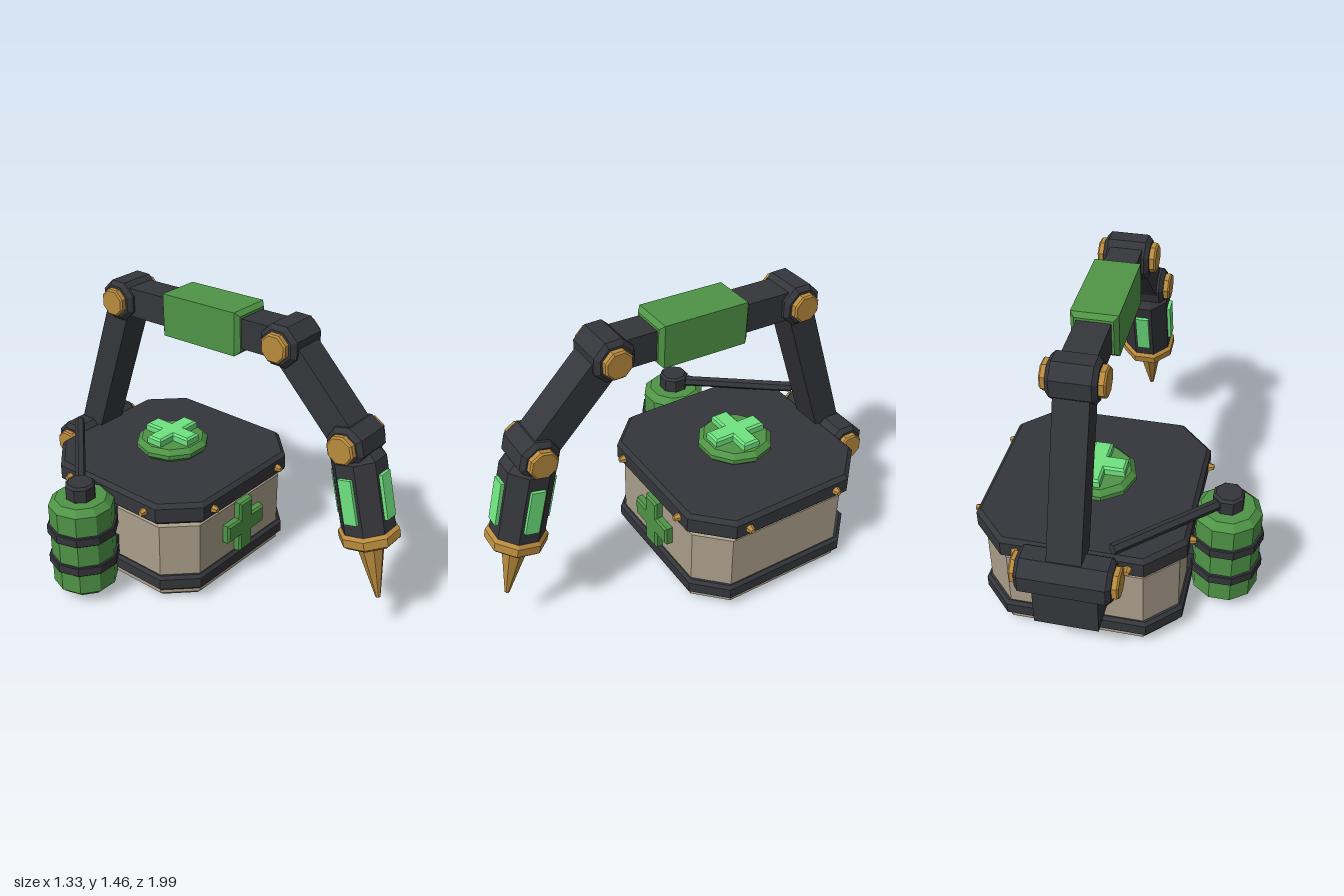
import * as THREE from 'three';

const mat = (color) => new THREE.MeshStandardMaterial({ color, flatShading: true });

export function createModel() {
  const model = new THREE.Group();
  const dark = mat(0x35363b), green = mat(0x4f9446), glow = mat(0x6fe37f);
  const gold = mat(0xb98b3e), tan = mat(0xaa9e8a);
  const CX = 0.14, CZ = -0.34; // centre of the case

  // Outline helpers
  const ngon = (n, r, phase = 0) => Array.from({ length: n }, (_, i) => {
    const a = phase + (i / n) * Math.PI * 2;
    return [r * Math.cos(a), r * Math.sin(a)];
  });
  const octagon = (apothem) => ngon(8, apothem / Math.cos(Math.PI / 8), Math.PI / 8);
  const rect = (w, h) => [[-w / 2, -h / 2], [w / 2, -h / 2], [w / 2, h / 2], [-w / 2, h / 2]];
  const chamfered = (s, c) => [[-s + c, -s], [s - c, -s], [s, -s + c], [s, s - c],
    [s - c, s], [-s + c, s], [-s, s - c], [-s, -s + c]];
  const plus = (s, w) => [[-w, -s], [w, -s], [w, -w], [s, -w], [s, w], [w, w],
    [w, s], [-w, s], [-w, w], [-s, w], [-s, -w], [-w, -w]];

  // Bevelled slab of an outline, centred, thick along the given axis
  const slab = (outline, thickness, bevel, axis = 'y') => {
    const g = new THREE.ExtrudeGeometry(
      new THREE.Shape(outline.map(([x, y]) => new THREE.Vector2(x, y))),
      { depth: thickness - 2 * bevel, bevelEnabled: true, bevelThickness: bevel,
        bevelSize: bevel, bevelOffset: -bevel, bevelSegments: 1 });
    g.translate(0, 0, bevel - thickness / 2);
    if (axis === 'y') g.rotateX(-Math.PI / 2);
    if (axis === 'x') g.rotateY(Math.PI / 2);
    return g;
  };
  const add = (name, geometry, material, x, y, z, parent = model) => {
    const m = new THREE.Mesh(geometry, material);
    m.name = name;
    m.position.set(x, y, z);
    parent.add(m);
    return m;
  };

  // Case, band and lid
  add('caseBody', slab(chamfered(0.457, 0.14), 0.45, 0.028), tan, CX, 0.225, CZ);
  add('caseBand', slab(chamfered(0.478, 0.145), 0.085, 0.015), dark, CX, 0.097, CZ);
  add('lid', slab(chamfered(0.492, 0.165), 0.115, 0.02), dark, CX, 0.507, CZ);

  // Lid bolts, two on each side
  for (let side = 0; side < 4; side++) {
    const ring = new THREE.Group();
    ring.name = 'lidBolts';
    ring.position.set(CX, 0.505, CZ);
    ring.rotation.y = side * Math.PI / 2;
    for (const x of [-0.255, 0.255]) {
      const bolt = new THREE.CylinderGeometry(0.013, 0.026, 0.04, 6).rotateX(Math.PI / 2);
      add('lidBolt', bolt, gold, x, 0, 0.5, ring);
    }
    model.add(ring);
  }

  // Crosses on the front and on the lid
  add('frontCross', slab(plus(0.143, 0.05), 0.05, 0.01, 'z'), green, CX + 0.003, 0.285, 0.133);
  add('lidDisc', slab(ngon(10, 0.188), 0.07, 0.024), green, CX, 0.597, CZ);
  add('lidCross', slab(plus(0.142, 0.045), 0.06, 0.01), glow, CX, 0.642, CZ);

  // Side tank with straps, cap and hose
  const TX = -0.49, TZ = -0.375;
  add('tank', slab(ngon(10, 0.162), 0.505, 0.032), green, TX, 0.292, TZ);
  for (const y of [0.208, 0.379]) {
    add('tankStrap', slab(ngon(10, 0.176), 0.05, 0.004), dark, TX, y, TZ);
    add('tankBracket', new THREE.BoxGeometry(0.1, 0.1, 0.14), dark, -0.335, y, TZ);
  }
  add('tankCap', slab(ngon(8, 0.076, Math.PI / 8), 0.09, 0.012), dark, TX, 0.58, TZ);
  const hoseA = new THREE.Vector3(TX, 0.577, TZ), hoseB = new THREE.Vector3(-0.05, 0.622, -0.84);
  const hoseDir = hoseB.clone().sub(hoseA);
  const hose = add('hose', new THREE.CylinderGeometry(0.027, 0.027, hoseDir.length(), 6), dark, 0, 0, 0);
  hose.position.copy(hoseA).addScaledVector(hoseDir, 0.5);
  hose.quaternion.setFromUnitVectors(new THREE.Vector3(0, 1, 0), hoseDir.normalize());

  // Arm joints as [y, z]
  const base = [0.48, -0.893], shoulder = [1.335, -0.605], elbow = [1.365, 0.38], wrist = [0.99, 0.755];
  const joint = (name, [y, z], width, r, pinR, pinWidth, tilt = 0) => {
    const g = new THREE.Group();
    g.name = name;
    g.position.set(CX + 0.004, y, z);
    g.rotation.x = tilt;
    add('hub', slab(octagon(r), width, 0.02, 'x'), dark, 0, 0, 0, g);
    add('pin', slab(octagon(pinR), pinWidth, 0.008, 'x'), gold, 0, 0, 0, g);
    model.add(g);
  };
  const angle = (a, b) => Math.atan2(b[1] - a[1], b[0] - a[0]);
  const toolTip = [0.218, 0.944];
  const toolTilt = angle(wrist, toolTip);
  joint('baseJoint', base, 0.435, 0.102, 0.07, 0.495);
  joint('shoulderJoint', shoulder, 0.22, 0.097, 0.066, 0.282);
  joint('elbowJoint', elbow, 0.22, 0.097, 0.066, 0.282);
  joint('wristJoint', wrist, 0.22, 0.092, 0.066, 0.282, toolTilt);
  add('armMount', slab(rect(0.3, 0.17), 0.27, 0.02), dark, CX, 0.33, -0.875);

  // Arm bars between the joints; t is the middle of the part along its span
  const bar = (name, a, b, w, d, material, length, t = 0.5, bevel = 0.012) => {
    const full = Math.hypot(b[0] - a[0], b[1] - a[1]);
    const m = add(name, slab(rect(w, d), length ?? full, bevel), material,
      CX + 0.003, a[0] + (b[0] - a[0]) * t, a[1] + (b[1] - a[1]) * t);
    m.rotation.x = angle(a, b);
  };
  bar('lowerArm', base, shoulder, 0.158, 0.135, dark);
  bar('upperArm', shoulder, elbow, 0.155, 0.145, dark);
  bar('upperArmSleeve', shoulder, elbow, 0.215, 0.21, green, 0.47, 0.54, 0.02);
  bar('forearm', elbow, wrist, 0.155, 0.145, dark);

  // Tool head, running along its own +y from the wrist to the tip
  const tool = new THREE.Group();
  tool.name = 'toolHead';
  tool.position.set(CX + 0.003, ...wrist);
  tool.rotation.x = toolTilt;
  model.add(tool);
  add('toolBody', slab(octagon(0.118), 0.42, 0.035), dark, 0, 0.25, 0, tool);
  add('toolCollar', slab(octagon(0.133), 0.07, 0.015), gold, 0, 0.46, 0, tool);
  add('toolSpike', new THREE.CylinderGeometry(0.012, 0.074, 0.32, 8), gold, 0, 0.635, 0, tool);
  for (let i = 0; i < 4; i++) {
    const a = i * Math.PI / 2;
    const panel = add('lightPanel', new THREE.BoxGeometry(0.068, 0.22, 0.04), glow,
      0.115 * Math.sin(a), 0.25, 0.115 * Math.cos(a), tool);
    panel.rotation.y = a;
  }
  return model;
}
